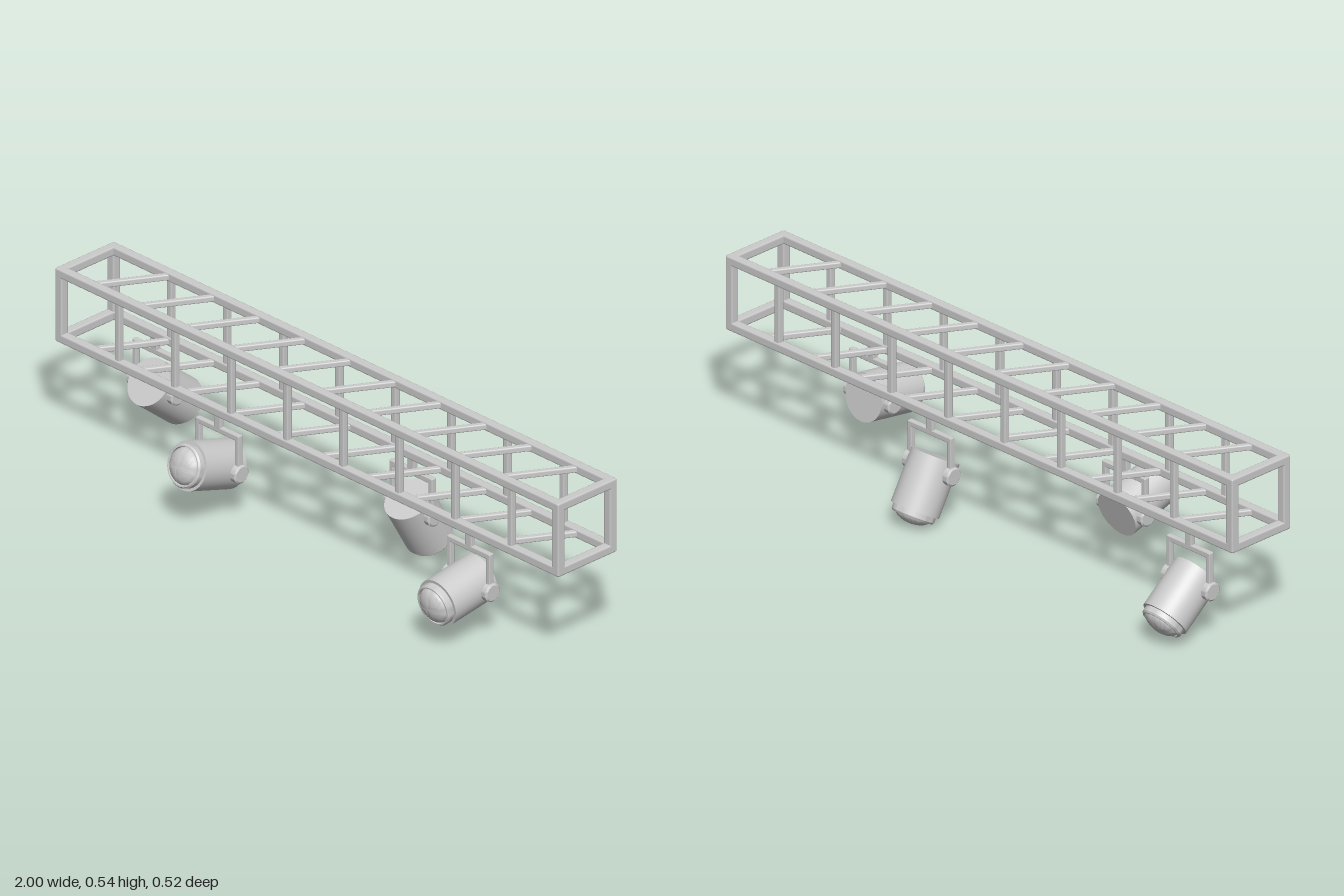
import * as THREE from 'three';
import { RoundedBoxGeometry } from 'three/addons/geometries/RoundedBoxGeometry.js';
import { toCreasedNormals } from 'three/addons/utils/BufferGeometryUtils.js';

const material = new THREE.MeshStandardMaterial({ color: 0xcccccc });

function add(parent, name, geometry, x = 0, y = 0, z = 0) {
  const mesh = new THREE.Mesh(geometry, material);
  mesh.name = name;
  mesh.position.set(x, y, z);
  parent.add(mesh);
  return mesh;
}

// Bar with chamfered edges
const bar = (w, h, d, chamfer) => new RoundedBoxGeometry(w, h, d, 1, chamfer);

// Solid of revolution with crisp edges, from [radius, height] pairs
const turned = (pairs, segments = 40) => toCreasedNormals(
  new THREE.LatheGeometry(pairs.map(([r, h]) => new THREE.Vector2(r, h)), segments), 0.5);

function createTruss() {
  const truss = new THREE.Group();
  truss.name = 'truss';
  truss.position.set(0, 0.427, -0.006);
  const t = 0.028, c = 0.006, off = 0.101;

  const chord = bar(2, t, t, c);
  const endPost = bar(t, 0.23, t, c);
  const endRail = bar(t, t, 0.23, c);
  const post = bar(0.02, 0.19, 0.02, 0.005);
  const brace = bar(0.018, 0.018, 0.225, 0.004);

  for (const s of [-1, 1]) {
    for (const v of [-1, 1]) {
      add(truss, 'chord', chord, 0, v * off, s * off);
      add(truss, 'endPost', endPost, v * 0.986, 0, s * off);
      add(truss, 'endRail', endRail, v * 0.986, s * off, 0);
    }
    // Uprights on the front and back sides
    for (let i = 0; i < 8; i++) add(truss, 'upright', post, -0.757 + 0.2225 * i, 0, s * off);
    // Slanted braces on the top and bottom sides
    for (let i = 0; i < 10; i++) {
      add(truss, 'diagonalBrace', brace, -0.813 + 0.18 * i, s * off, 0).rotation.y = -Math.PI / 6 + Math.PI;
    }
  }
  return truss;
}

// Lamp hanging from its yoke; the can points along +z, tilted down by the given degrees
function createLamp(x, z, facing, tilt) {
  const lamp = new THREE.Group();
  lamp.name = 'spotlight';
  lamp.position.set(x, 0.16, z);
  lamp.rotation.y = facing > 0 ? 0 : Math.PI;

  // Yoke
  add(lamp, 'stem', bar(0.026, 0.05, 0.018, 0.004), 0, 0.14, 0);
  add(lamp, 'yokeBridge', bar(0.172, 0.018, 0.018, 0.004), 0, 0.111, 0);
  const knob = turned([[0, -0.01], [0.028, -0.01], [0.028, 0.006], [0.023, 0.01], [0, 0.01]], 32);
  for (const s of [-1, 1]) {
    add(lamp, 'yokeArm', bar(0.016, 0.12, 0.018, 0.004), s * 0.078, 0.06, 0);
    add(lamp, 'pivotKnob', knob, s * 0.082, 0, 0).rotation.z = -s * Math.PI / 2;
  }

  // Can with its front collar and lens, turned about the optical axis
  const can = new THREE.Group();
  can.name = 'lampHead';
  can.rotation.x = Math.PI / 2 + THREE.MathUtils.degToRad(tilt);
  lamp.add(can);
  add(can, 'can', turned([[0, -0.035], [0.0715, -0.035], [0.0715, 0.127], [0, 0.127]]));
  add(can, 'collar', turned([
    [0.063, 0.125], [0.063, 0.143], [0.059, 0.148], [0.055, 0.148], [0.053, 0.138]]));
  const lens = [];
  for (let i = 0; i <= 8; i++) {
    const a = (i / 8) * Math.PI / 2;
    lens.push([0.054 * Math.cos(a), 0.138 + 0.029 * Math.sin(a)]);
  }
  lens[8][0] = 0;
  add(can, 'lens', turned(lens));
  return lamp;
}

export function createModel() {
  const model = new THREE.Group();
  model.name = 'lightingRig';
  model.add(createTruss());
  const lamps = [[-0.82, -1, 39], [-0.36, 1, -17.5], [0.2, -1, 60], [0.637, 1, 8.6]];
  for (const [x, side, tilt] of lamps) {
    model.add(createLamp(x, -0.006 + side * 0.102, side, tilt));
  }
  return model;
}
